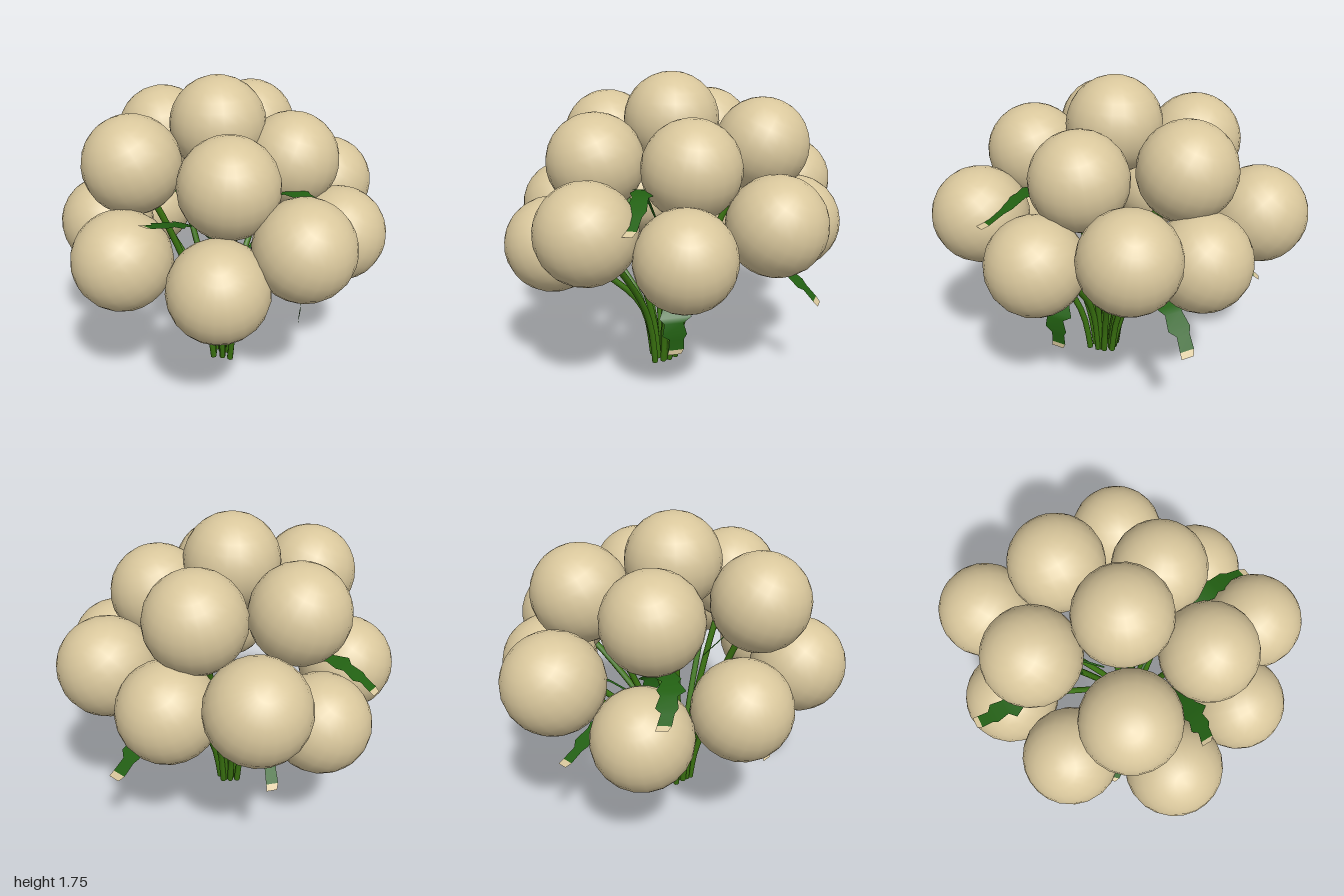
import * as THREE from 'three';

const cream = new THREE.MeshStandardMaterial({ color: 0xd9c79c });
cream.name = 'cream bloom';
const stemGreen = new THREE.MeshStandardMaterial({ color: 0x3a7310 });
stemGreen.name = 'stem green';
const leafGreen = new THREE.MeshStandardMaterial({ color: 0x226012, side: THREE.DoubleSide });
leafGreen.name = 'leaf green';
const leafTip = new THREE.MeshStandardMaterial({ color: 0xd9c79c, side: THREE.DoubleSide });
leafTip.name = 'cream leaf tip';

// Centres of the round blooms
const blooms = [
  [-0.04, 1.48, 0], [0.26, 1.29, -0.28], [0.35, 1.29, 0.26], [-0.16, 1.33, 0.5], [-0.54, 1.33, 0.01],
  [-0.27, 1.34, -0.46], [0.15, 1.02, -0.72], [-0.28, 0.91, -0.66], [-0.72, 1.03, -0.46], [-0.73, 0.77, 0],
  [-0.5, 0.87, 0.47], [0.02, 0.9, 0.71], [0.5, 0.83, 0.46], [0.72, 1.02, 0.08], [0.54, 0.9, -0.39],
];

// Leaf midribs from stem to tip, with a width factor
const leaves = [
  { path: [[0.15, 0.95, 0], [0.3, 1.14, -0.02], [0.48, 1.2, -0.11], [0.78, 1.07, -0.21]], w: 1 },
  { path: [[0.08, 0.52, 0], [0.22, 0.61, -0.12], [0.4, 0.5, -0.25], [0.39, 0.27, -0.27]], w: 1.25 },
  { path: [[-0.03, 0.52, 0.12], [-0.1, 0.63, 0.3], [-0.19, 0.6, 0.48], [-0.31, 0.46, 0.61]], w: 1 },
  { path: [[0.08, 0.85, 0.15], [0.14, 1.02, 0.32], [0.19, 1.1, 0.5], [0.21, 1.15, 0.69]], w: 1 },
  { path: [[-0.3, 0.95, 0.05], [-0.5, 1.07, 0.08], [-0.72, 1.07, 0.14], [-0.95, 0.98, 0.17]], w: 1 },
  { path: [[-0.15, 0.6, -0.06], [-0.35, 0.73, -0.15], [-0.58, 0.72, -0.28], [-0.8, 0.58, -0.41]], w: 0.9 },
  { path: [[-0.03, 0.55, -0.15], [-0.07, 0.7, -0.4], [-0.1, 0.69, -0.67], [-0.12, 0.51, -0.9]], w: 1.2 },
];

// Position along the midrib, left half width, right half width
const outline = [
  [0, 0.006, 0.006], [0.32, 0.01, 0.01], [0.46, 0.03, 0.035], [0.54, 0.07, 0.06], [0.58, 0.04, 0.045],
  [0.68, 0.065, 0.08], [0.73, 0.045, 0.04], [0.83, 0.06, 0.05], [0.87, 0.03, 0.035], [0.96, 0.04, 0.03],
  [1, 0.045, 0.015],
];

// Ragged ribbon leaf: green blade with a cream end strip
function makeLeaf({ path, w }) {
  const pts = path.map((p) => new THREE.Vector3(...p));
  const curve = new THREE.CatmullRomCurve3(pts);
  const run = pts[3].clone().sub(pts[0]);
  const side = new THREE.Vector3(-run.z, 0, run.x).normalize();
  const positions = [], index = [];
  outline.forEach(([t, l, r], i) => {
    const p = curve.getPoint(t);
    positions.push(...p.clone().addScaledVector(side, l * w).toArray());
    positions.push(...p.clone().addScaledVector(side, -r * w).toArray());
    if (i) {
      const a = 2 * i - 2;
      index.push(a, a + 1, a + 2, a + 1, a + 3, a + 2);
    }
  });
  const geo = new THREE.BufferGeometry();
  geo.setAttribute('position', new THREE.Float32BufferAttribute(positions, 3));
  geo.setIndex(index);
  geo.computeVertexNormals();
  const bladeCount = index.length - 6;
  geo.addGroup(0, bladeCount, 0);
  geo.addGroup(bladeCount, 6, 1);
  const mesh = new THREE.Mesh(geo, [leafGreen, leafTip]);
  mesh.name = 'leaf';
  return mesh;
}

// Stem rising from the tied base, then bending out to its bloom
function makeStem([x, y, z], i) {
  const k = 0.7 + 0.3 * (i % 2);
  const bx = 0.022 + 0.12 * k * x, bz = 0.025 + 0.1 * k * z;
  const at = (t, h) => new THREE.Vector3(bx + (x - bx) * t, h, bz + (z - bz) * t);
  const curve = new THREE.CatmullRomCurve3(
    [at(0, 0), at(0.05, 0.2), at(0.17, 0.4), at(0.58, 0.4 + (y - 0.4) * 0.56), at(1, y)]);
  const stem = new THREE.Group();
  stem.name = 'stem';
  const stalk = new THREE.Mesh(new THREE.TubeGeometry(curve, 12, 0.019, 7), stemGreen);
  stalk.name = 'stalk';
  const cap = new THREE.Mesh(new THREE.CircleGeometry(0.019, 7).rotateX(Math.PI / 2), stemGreen);
  cap.name = 'cutEnd';
  cap.position.set(bx, 0.001, bz);
  stem.add(stalk, cap);
  return stem;
}

export function createModel() {
  const model = new THREE.Group();
  model.name = 'bouquet';
  const ball = new THREE.SphereGeometry(0.27, 22, 14);
  blooms.forEach((c, i) => {
    const bloom = new THREE.Mesh(ball, cream);
    bloom.name = 'bloom';
    bloom.position.set(...c);
    // Tip each bloom outward along its stem
    bloom.rotation.set(c[2] * 0.8, 0, -c[0] * 0.8);
    model.add(bloom, makeStem(c, i));
  });
  leaves.forEach((leaf) => model.add(makeLeaf(leaf)));
  return model;
}
